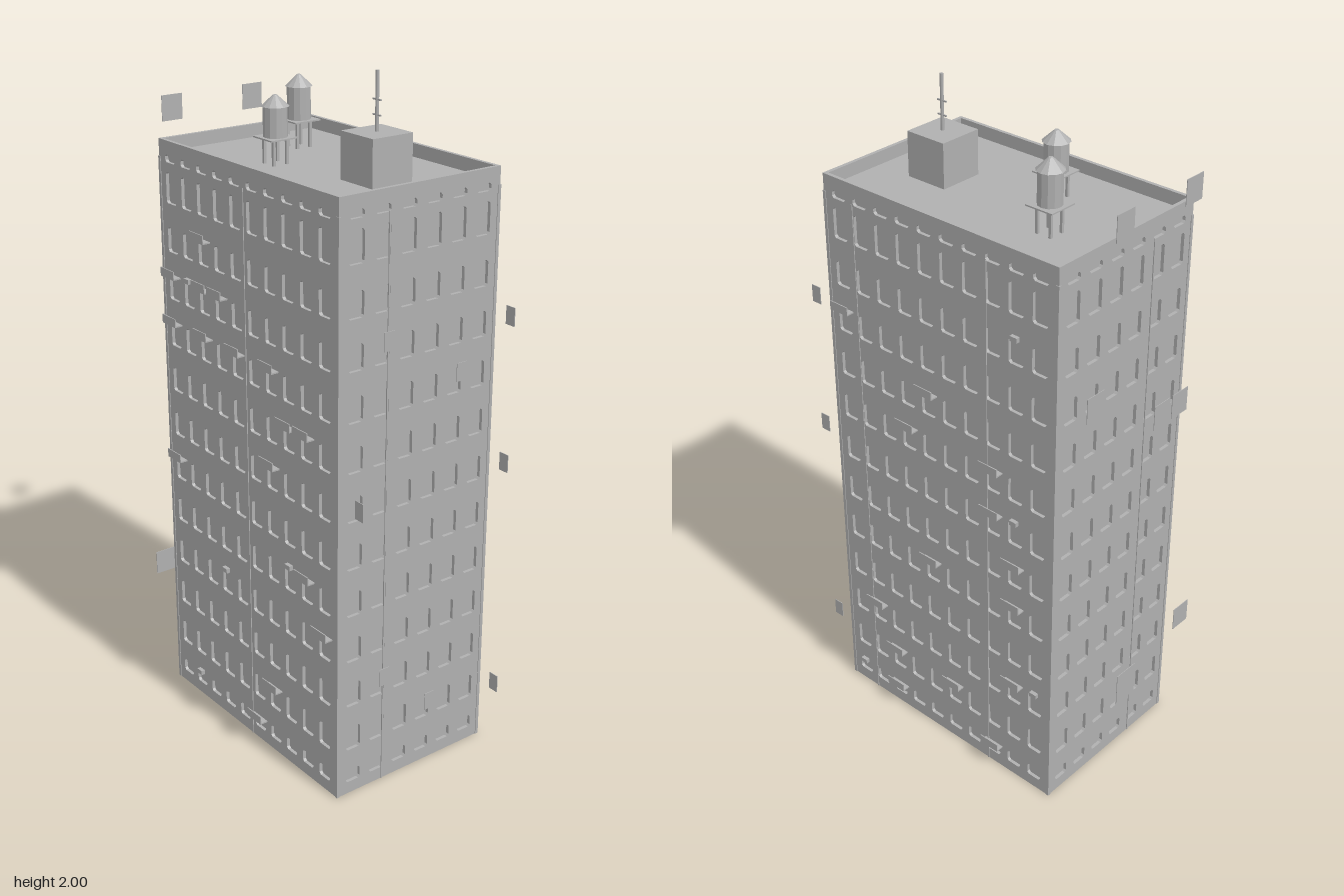
import * as THREE from 'three';

const W = 0.825, D = 0.537, H = 1.75, ROOF = 1.712, T = 0.011;
const CX = -0.015, CZ = -0.0065;
const PITCH = 0.1425;

const stone = new THREE.MeshStandardMaterial({ color: 0xb0b0b0 });
stone.name = 'greyStone';

function add(parent, geo, name, x = 0, y = 0, z = 0) {
  const m = new THREE.Mesh(geo, stone);
  m.name = name;
  m.position.set(x, y, z);
  parent.add(m);
  return m;
}
const box = (parent, name, w, h, d, x, y, z) =>
  add(parent, new THREE.BoxGeometry(w, h, d), name, x, y, z);

const rowTop = (r) => 0.075 + PITCH * r;

// Window rows as [bottom, top]: low base row, ten regular, one tall, one vent row
const rows = [[0.037, 0.077]];
for (let r = 1; r <= 10; r++) rows.push([rowTop(r) - 0.073, rowTop(r)]);
rows.push([1.57, 1.66], [1.688, 1.71]);

// Window opening with clipped corners
function opening(x, y0, y1, w) {
  const a = w / 2, c = 0.006;
  const pts = [[a - c, y0], [a, y0 + c], [a, y1 - c], [a - c, y1],
    [c - a, y1], [-a, y1 - c], [-a, y0 + c], [c - a, y0]];
  return new THREE.Path(pts.map(([px, py]) => new THREE.Vector2(x + px, py)).reverse());
}

// One pierced wall, outer face at local z = 0
function facade(name, width, cols, pitch) {
  const g = new THREE.Group();
  g.name = name;
  const s = new THREE.Shape([[-1, 0], [1, 0], [1, H], [-1, H]]
    .map(([x, y]) => new THREE.Vector2(x * width / 2, y)));
  for (let c = 0; c < cols; c++)
    for (const [y0, y1] of rows)
      s.holes.push(opening((c - (cols - 1) / 2) * pitch, y0, y1, 0.05));
  add(g, new THREE.ExtrudeGeometry(s, { depth: T, bevelEnabled: false }), 'wall', 0, 0, -T);
  return g;
}

// Ledges with an upturned lip, and small window units
function dress(wall, ledges, units) {
  const colX = (c) => (c - 4.5) * 0.079;
  for (const [c, r] of ledges) {
    const y = rowTop(r);
    box(wall, 'ledgeFloor', 0.067, 0.004, 0.025, colX(c), y + 0.002, 0.0125);
    box(wall, 'ledgeLip', 0.067, 0.026, 0.003, colX(c), y + 0.013, 0.0235);
  }
  for (const [c, r] of units)
    box(wall, 'windowUnit', 0.024, 0.014, 0.012, colX(c), rowTop(r) + 0.007, 0.006);
}

function waterTower(x, z, r, base, eaves, peak) {
  const g = new THREE.Group();
  g.name = 'waterTower';
  g.position.set(x, 0, z);
  for (const sx of [-1, 1])
    for (const sz of [-1, 1])
      box(g, 'towerLeg', 0.008, base - ROOF, 0.008, sx * 0.022, (base + ROOF) / 2, sz * 0.022);
  box(g, 'towerPlatform', 0.088, 0.004, 0.088, 0, base, 0);
  const tank = new THREE.CylinderGeometry(r, r, eaves - base, 12).toNonIndexed();
  tank.computeVertexNormals();
  add(g, tank, 'tank', 0, (base + eaves) / 2, 0);
  const cone = new THREE.CylinderGeometry(0.006, r + 0.005, peak - eaves, 12).toNonIndexed();
  cone.computeVertexNormals();
  add(g, cone, 'tankRoof', 0, (eaves + peak) / 2, 0);
  return g;
}

export function createModel() {
  const model = new THREE.Group();
  model.name = 'officeTower';

  // Main block behind the walls; its top is the roof deck
  box(model, 'core', W - 0.02, ROOF, D - 0.02, CX, ROOF / 2, CZ);

  // Four walls, rising above the deck as a parapet
  const front = facade('frontWall', W, 10, 0.079);
  front.position.set(CX, 0, CZ + D / 2);
  dress(front,
    [[2, 10], [0, 9], [2, 9], [3, 9], [0, 8], [2, 8], [4, 8], [6, 8], [7, 7], [8, 7],
      [6, 6], [0, 5], [8, 4], [9, 3], [6, 1], [5, 0]],
    [[1, 9], [7, 4], [3, 3], [1, 0]]);

  const back = facade('backWall', W, 10, 0.079);
  back.position.set(CX, 0, CZ - D / 2);
  back.rotation.y = Math.PI;
  dress(back,
    [[0, 9], [4, 8], [3, 7], [7, 7], [7, 6], [4, 4], [8, 5], [8, 4], [1, 2], [2, 1],
      [8, 2], [5, 1], [2, 0], [7, 0]],
    [[8, 10], [8, 6], [9, 2], [0, 0]]);

  model.add(front, back);
  for (const s of [-1, 1]) {
    const side = facade(s > 0 ? 'leftWall' : 'rightWall', D - 2 * T, 6, 0.0847);
    side.position.set(CX + s * W / 2, 0, CZ);
    side.rotation.y = s * Math.PI / 2;
    model.add(side);
    box(side, 'drainPipe', 0.004, H - 0.06, 0.003, -0.107 * s, H / 2 - 0.03, 0.001);
    // Slim corner posts
    for (const t of [-1, 1])
      box(model, 'cornerPost', 0.01, H - 0.05, 0.01,
        CX + s * (W / 2 - 0.003), H / 2 - 0.025, CZ + t * (D / 2 - 0.003));
  }
  box(front, 'drainPipe', 0.004, H - 0.06, 0.003, 0, H / 2 - 0.03, 0.001);
  for (const x of [-0.305, 0.175])
    box(back, 'drainPipe', 0.004, H - 0.06, 0.003, x, H / 2 - 0.03, 0.001);

  // Roof: lift house, mast with crossbars, two water towers
  box(model, 'liftHouse', 0.132, 1.842 - ROOF, 0.134, 0.207, (1.842 + ROOF) / 2, -0.01);
  add(model, new THREE.CylinderGeometry(0.005, 0.005, 0.16, 8), 'mast', 0.207, 1.92, -0.01);
  for (const y of [1.885, 1.925])
    box(model, 'mastCrossbar', 0.032, 0.004, 0.004, 0.207, y, -0.01);
  model.add(waterTower(-0.237, -0.088, 0.034, 1.79, 1.885, 1.917));
  model.add(waterTower(-0.108, 0.087, 0.034, 1.785, 1.87, 1.9));

  // Free-standing panels beside the walls: [z, y]
  for (const [z, y] of [[0.178, 1.817], [-0.1, 1.817], [-0.19, 1.345], [0.178, 1.187],
    [0.1, 1.187], [0.262, 0.393]])
    box(model, 'largePanel', 0.002, 0.074, 0.068, -0.485, y, z);
  box(model, 'lowPanel', 0.002, 0.11, 0.084, -0.454, 0.24, 0.045);
  for (const [z, y] of [[0.118, 1.356], [-0.135, 1.215], [0.118, 0.36], [-0.052, 0.217]])
    box(model, 'smallPanel', 0.002, 0.053, 0.034, 0.425, y, z);
  for (const [z, y] of [[-0.266, 1.356], [-0.266, 0.927], [-0.266, 0.217], [0.247, 0.927]])
    box(model, 'cornerPanel', 0.033, 0.053, 0.002, 0.468, y, z);

  return model;
}
